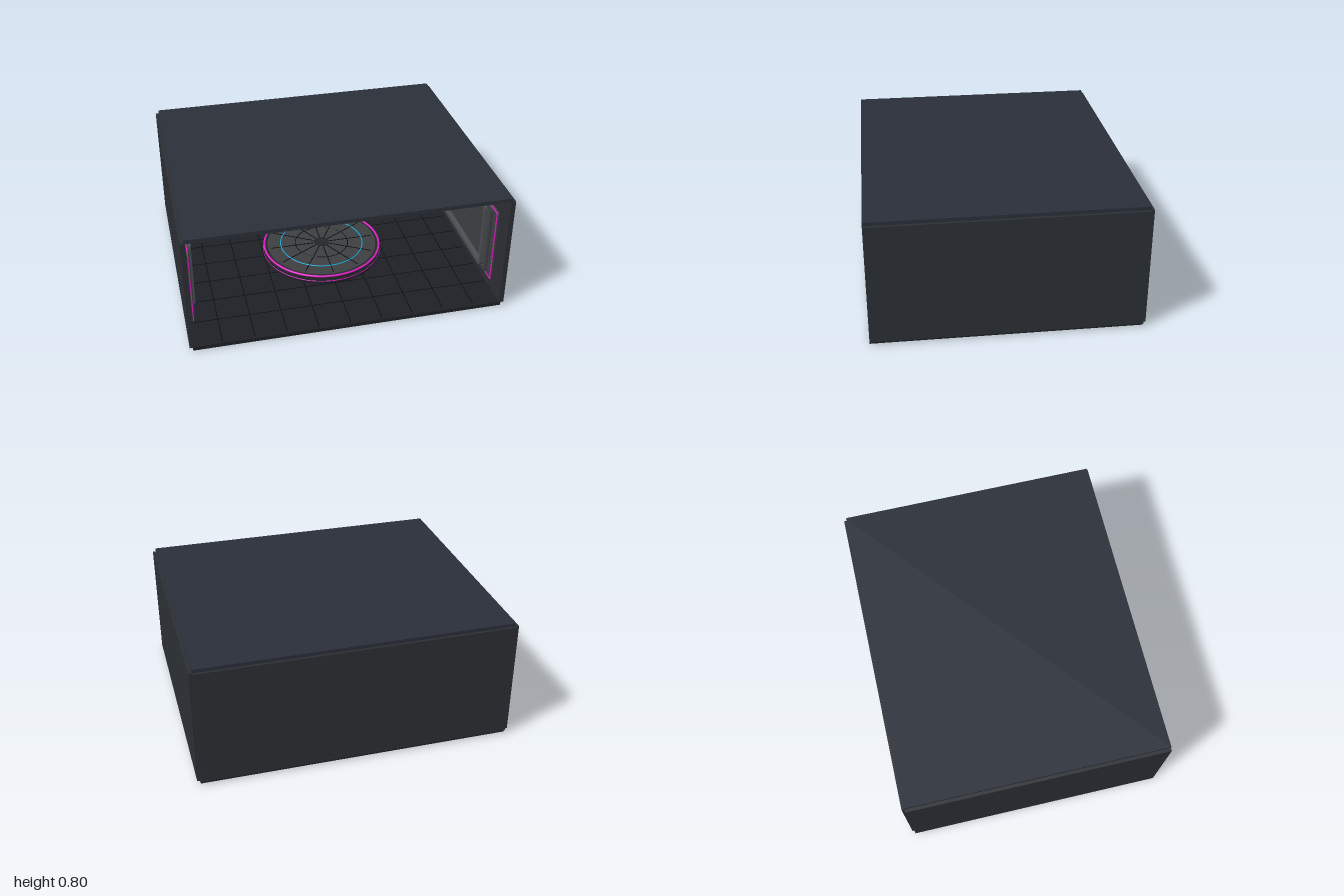
import * as THREE from 'three';

const paint = (color) => new THREE.MeshStandardMaterial({ color });
const mats = {
  shell: paint(0x2a2f39), wall: paint(0x2b2e34), floor: paint(0x1e2026), seam: paint(0x0d0e12),
  panel: paint(0x3c3e41), frame: paint(0x4c4e52), glass: paint(0x10121c), bezel: paint(0x25262c),
  cyan: paint(0x12a6dc), magenta: paint(0xe01fc4), grey: paint(0xcccccc), white: paint(0xffffff),
};

function add(parent, name, geometry, mat, x = 0, y = 0, z = 0) {
  const mesh = new THREE.Mesh(geometry, mats[mat]);
  mesh.name = name;
  mesh.position.set(x, y, z);
  parent.add(mesh);
  return mesh;
}

const box = (parent, name, mat, w, h, d, x, y, z) =>
  add(parent, name, new THREE.BoxGeometry(w, h, d), mat, x, y, z);

const disc = (parent, name, mat, r, h, y) =>
  add(parent, name, new THREE.CylinderGeometry(r, r, h, 64), mat, 0, y, 0);

function ring(parent, name, mat, r, tube, y) {
  const mesh = add(parent, name, new THREE.TorusGeometry(r, tube, 8, 72), mat, 0, y, 0);
  mesh.rotation.x = Math.PI / 2;
  return mesh;
}

function roundRect(path, w, h, r) {
  const x = w / 2, y = h / 2;
  path.moveTo(-x + r, -y);
  path.lineTo(x - r, -y);
  path.quadraticCurveTo(x, -y, x, -y + r);
  path.lineTo(x, y - r);
  path.quadraticCurveTo(x, y, x - r, y);
  path.lineTo(-x + r, y);
  path.quadraticCurveTo(-x, y, -x, y - r);
  path.lineTo(-x, -y + r);
  path.quadraticCurveTo(-x, -y, -x + r, -y);
  return path;
}

// Rounded slab, or a rounded frame when a border width is given
function slab(w, h, depth, r, border = 0) {
  const shape = roundRect(new THREE.Shape(), w, h, r);
  if (border) {
    shape.holes.push(roundRect(new THREE.Path(), w - 2 * border, h - 2 * border, Math.max(r - border, 0.006)));
  }
  return new THREE.ExtrudeGeometry(shape, { depth, bevelEnabled: false, curveSegments: 6 });
}

// Floor, roof and three walls; the front stays open
function buildShell() {
  const g = new THREE.Group();
  g.name = 'shell';
  box(g, 'floorSlab', 'floor', 1.96, 0.025, 1.64, 0, 0.0125, 0.01);
  box(g, 'roofSlab', 'shell', 1.96, 0.025, 1.64, 0, 0.7875, 0.01);
  box(g, 'backWall', 'wall', 1.96, 0.755, 0.03, 0, 0.4, -0.812);
  for (const s of [-1, 1]) box(g, 'sideWall', 'wall', 0.03, 0.755, 1.64, s * 0.985, 0.4, 0.01);
  // Seams between the floor tiles
  for (let i = -4; i <= 4; i++) {
    box(g, 'floorSeam', 'seam', 0.006, 0.002, 1.6, i * 0.2, 0.0255, 0.01);
    if (Math.abs(i) < 4) box(g, 'floorSeam', 'seam', 1.92, 0.002, 0.006, 0, 0.0255, i * 0.2);
  }
  return g;
}

// Stepped panel around a dark window on the back wall, with light strips
function buildBackPanel() {
  const g = new THREE.Group();
  g.name = 'backPanel';
  add(g, 'basePlate', slab(1.52, 0.55, 0.025, 0.025), 'panel');
  add(g, 'outerFrame', slab(1.4, 0.46, 0.045, 0.015, 0.02), 'panel', 0, -0.015, 0);
  add(g, 'windowFrame', slab(1.28, 0.41, 0.04, 0.04, 0.04), 'frame', 0, 0, 0);
  add(g, 'windowGlass', slab(1.2, 0.34, 0.032, 0.01), 'glass');
  add(g, 'windowLight', slab(1.2, 0.345, 0.044, 0.01, 0.006), 'cyan');
  box(g, 'upperLightStrip', 'cyan', 1.39, 0.009, 0.02, 0, 0.21, 0.045);
  box(g, 'lowerLightStrip', 'magenta', 1.39, 0.009, 0.02, 0, -0.22, 0.045);
  g.position.set(0, 0.365, -0.797);
  return g;
}

// Display hung in front of the window
function buildDisplay() {
  const g = new THREE.Group();
  g.name = 'display';
  add(g, 'bezel', slab(0.92, 0.33, 0.025, 0.008, 0.03), 'bezel');
  box(g, 'backing', 'bezel', 0.9, 0.31, 0.015, 0, 0, 0.004);
  box(g, 'screen', 'grey', 0.86, 0.285, 0.008, 0, 0, 0.016);
  box(g, 'lowerTrim', 'magenta', 0.88, 0.003, 0.004, 0, -0.15, 0.026);
  box(g, 'bracket', 'bezel', 0.3, 0.12, 0.06, 0, 0, -0.03);
  g.position.set(0, 0.435, -0.71);
  return g;
}

// Panel for a side wall, built facing +z and then turned inward
function buildSidePanel(side) {
  const g = new THREE.Group();
  g.name = side > 0 ? 'leftPanel' : 'rightPanel';
  add(g, 'basePlate', slab(1.38, 0.5, 0.015, 0.02), 'panel');
  add(g, 'outerFrame', slab(1.26, 0.48, 0.03, 0.015, 0.02), 'panel');
  add(g, 'innerFrame', slab(1.14, 0.46, 0.045, 0.03, 0.025), 'frame');
  for (const s of [-1, 1]) {
    box(g, 'lightStrip', 'magenta', 1.38, 0.006, 0.006, 0, s * 0.25, 0.016);
    box(g, 'lightStrip', 'magenta', 0.006, 0.5, 0.006, s * 0.69, 0, 0.016);
  }
  g.rotation.y = -side * Math.PI / 2;
  g.position.set(side * 0.97, 0.36, 0);
  return g;
}

// Round platform with glowing rims, rings and spokes
function buildPlatform() {
  const g = new THREE.Group();
  g.name = 'platform';
  disc(g, 'base', 'floor', 0.4, 0.025, 0.036);
  disc(g, 'body', 'bezel', 0.385, 0.05, 0.05);
  disc(g, 'deck', 'panel', 0.37, 0.008, 0.076);
  disc(g, 'hub', 'bezel', 0.05, 0.006, 0.082);
  ring(g, 'lowerRim', 'magenta', 0.398, 0.004, 0.044);
  ring(g, 'upperRim', 'magenta', 0.392, 0.007, 0.078);
  ring(g, 'middleRing', 'cyan', 0.28, 0.004, 0.08);
  ring(g, 'innerRing', 'seam', 0.18, 0.003, 0.08);
  for (let i = 0; i < 12; i++) {
    const a = (i * Math.PI) / 6;
    const spoke = box(g, 'spoke', 'seam', 0.3, 0.003, 0.006, 0.2 * Math.cos(a), 0.081, -0.2 * Math.sin(a));
    spoke.rotation.y = a;
  }
  return g;
}

// Ceiling fitting: plate, two glowing rings and a circle of ten spots
function buildCeilingLight() {
  const g = new THREE.Group();
  g.name = 'ceilingLight';
  disc(g, 'plate', 'bezel', 0.45, 0.015, 0.768);
  disc(g, 'core', 'bezel', 0.3, 0.045, 0.738);
  ring(g, 'outerRing', 'magenta', 0.365, 0.014, 0.748);
  ring(g, 'innerRing', 'cyan', 0.25, 0.007, 0.718);
  for (let i = 0; i < 10; i++) {
    const a = (i * Math.PI) / 5;
    const x = 0.285 * Math.sin(a), z = 0.285 * Math.cos(a);
    add(g, 'spotLamp', new THREE.CylinderGeometry(0.016, 0.016, 0.01, 16), 'white', x, 0.703, z);
    add(g, 'spotStem', new THREE.CylinderGeometry(0.012, 0.012, 0.015, 12), 'bezel', x, 0.714, z);
  }
  return g;
}

export function createModel() {
  const room = new THREE.Group();
  room.name = 'room';
  room.add(
    buildShell(), buildBackPanel(), buildDisplay(),
    buildSidePanel(1), buildSidePanel(-1),
    buildPlatform(), buildCeilingLight(),
  );
  return room;
}
